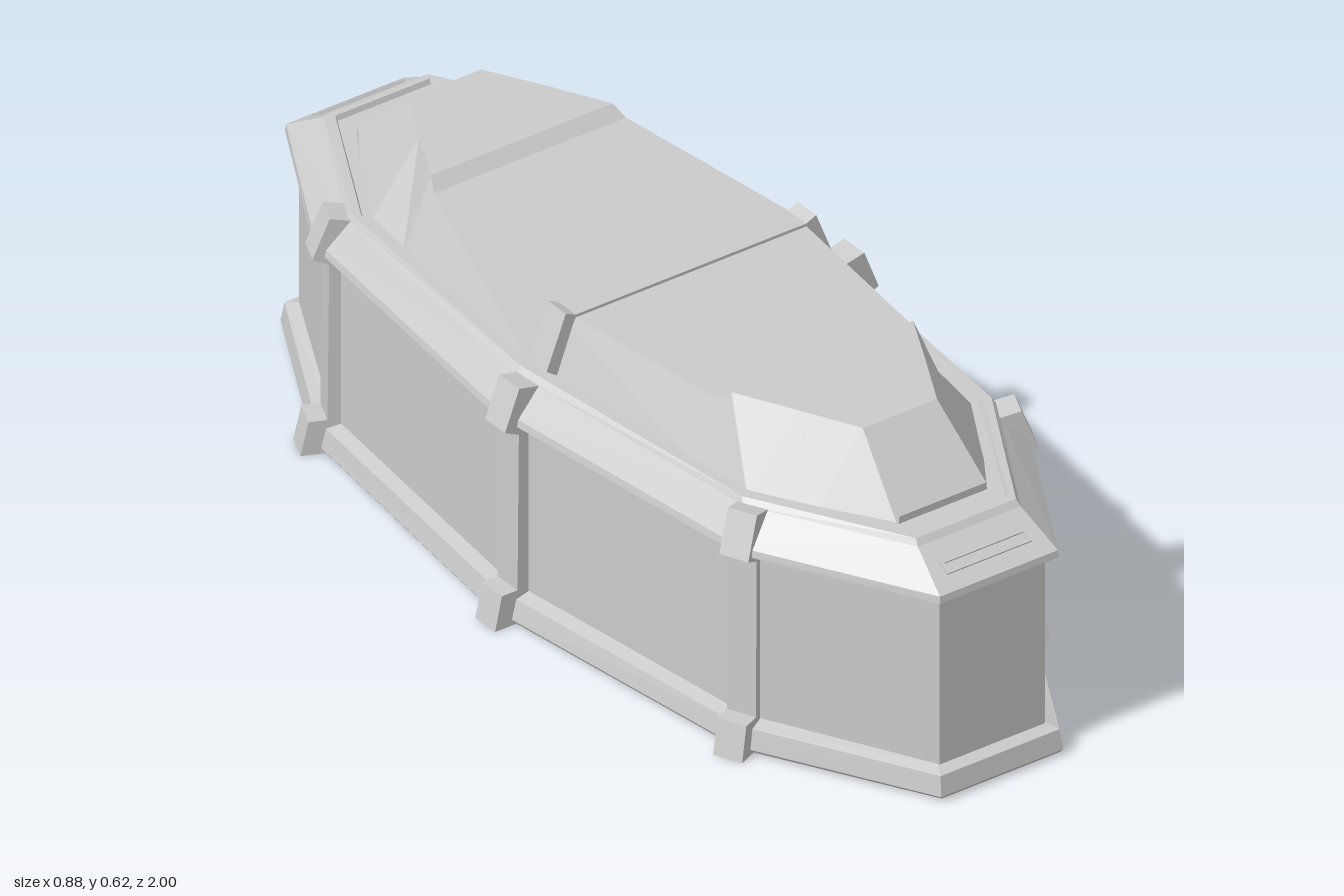
import * as THREE from 'three';

const material = new THREE.MeshStandardMaterial({ color: 0xcccccc, flatShading: true });

// Skin a list of equal-length rings of [x, y, z] and close both ends
function loft(rings) {
  const n = rings[0].length, index = [];
  for (let i = 0; i < rings.length - 1; i++) {
    for (let j = 0; j < n; j++) {
      const a = i * n + j, b = i * n + (j + 1) % n;
      index.push(a, b, b + n, a, b + n, a + n);
    }
  }
  const last = (rings.length - 1) * n;
  for (let j = 1; j < n - 1; j++) {
    index.push(0, j + 1, j, last, last + j, last + j + 1);
  }
  const g = new THREE.BufferGeometry();
  g.setAttribute('position', new THREE.Float32BufferAttribute(rings.flat(2), 3));
  g.setIndex(index);
  const flat = g.toNonIndexed();
  flat.computeVertexNormals();
  return flat;
}

// Ten-sided boat-shaped outline: end half width, end z, shoulder x and z, middle half width
function outline(y, ex, ez, sx, sz, mx) {
  const half = [[ex, y, ez], [sx, y, sz], [mx, y, 0], [sx, y, -sz], [ex, y, -ez]];
  return [...half, ...half.slice().reverse().map(([x, h, z]) => [-x, h, z])];
}

function polygon(points) {
  return new THREE.Shape(points.map(([x, y]) => new THREE.Vector2(x, y)));
}

function slab(shape, depth) {
  const g = new THREE.ExtrudeGeometry(shape, { depth, bevelEnabled: false });
  return g.translate(0, 0, -depth / 2);
}

export function createModel() {
  const model = new THREE.Group();
  model.name = 'casket';
  const add = (name, geometry) => {
    const mesh = new THREE.Mesh(geometry, material);
    mesh.name = name;
    model.add(mesh);
    return mesh;
  };

  // Plinth with a sloped top edge
  add('base', loft([
    outline(0.005, 0.132, 0.995, 0.325, 0.645, 0.405),
    outline(0.012, 0.137, 1.0, 0.33, 0.645, 0.41),
    outline(0.052, 0.133, 0.993, 0.322, 0.645, 0.40),
    outline(0.06, 0.12, 0.968, 0.295, 0.63, 0.37),
  ]));

  // Upright walls
  add('body', loft([
    outline(0.05, 0.118, 0.97, 0.297, 0.63, 0.372),
    outline(0.43, 0.118, 0.97, 0.297, 0.63, 0.372),
  ]));

  // Overhanging rim sloping in to a stepped deck
  add('rim', loft([
    outline(0.408, 0.118, 0.965, 0.295, 0.63, 0.37),
    outline(0.418, 0.133, 0.992, 0.325, 0.645, 0.398),
    outline(0.432, 0.132, 0.99, 0.322, 0.645, 0.395),
    outline(0.486, 0.115, 0.90, 0.285, 0.60, 0.35),
    outline(0.498, 0.112, 0.89, 0.279, 0.59, 0.338),
    outline(0.498, 0.106, 0.876, 0.267, 0.58, 0.325),
    outline(0.488, 0.104, 0.872, 0.263, 0.578, 0.32),
  ]));

  // Lid cross-sections: z, half width at the foot, half width on top, top height
  const lidHalf = [
    [0.82, 0.10, 0.097, 0.503],
    [0.69, 0.185, 0.083, 0.62],
    [0.57, 0.253, 0.145, 0.622],
    [0.455, 0.265, 0.203, 0.622],
    [0.43, 0.268, 0.215, 0.60],
  ];
  const lidSections = [
    ...lidHalf.map(([z, ...rest]) => [-z, ...rest]),
    [0, 0.31, 0.265, 0.60],
    ...lidHalf.slice().reverse(),
  ];
  add('lid', loft(lidSections.map(([z, foot, top, y]) =>
    [[foot, 0.48, z], [top, y, z], [-top, y, z], [-foot, 0.48, z]])));

  // Strap across the middle of the lid, with raised shoulders
  const strapSide = [[0.29, 0.485], [0.323, 0.508], [0.28, 0.616], [0.258, 0.606]];
  const strap = [...strapSide, ...strapSide.slice().reverse().map(([x, y]) => [-x, y])];
  add('lidStrap', slab(polygon(strap), 0.055)).position.z = 0.03;

  // Braces: a foot, a thin upright rib and a hooked top
  const brace = slab(polygon([
    [0.31, 0], [0.44, 0], [0.425, 0.07], [0.39, 0.07], [0.387, 0.40],
    [0.418, 0.415], [0.386, 0.497], [0.345, 0.488], [0.32, 0.49],
  ]), 0.06);
  const cornerAngle = 0.42;
  for (const side of [1, -1]) {
    for (const [x, z, turn] of [[0.41, 0.03, 0], [0.33, 0.64, cornerAngle], [0.33, -0.64, -cornerAngle]]) {
      const dx = side * Math.cos(turn), dz = Math.sin(turn);
      const mesh = add(turn ? 'cornerBrace' : 'middleBrace', brace);
      mesh.rotation.y = Math.atan2(-dz, dx);
      mesh.position.set(side * x - dx * 0.41, 0, z - dz * 0.41);
    }
  }

  // Narrow slot frame on the rim slope at each end
  const frame = polygon([[-0.095, -0.014], [0.095, -0.014], [0.095, 0.014], [-0.095, 0.014]]);
  frame.holes.push(new THREE.Path([
    [-0.088, -0.008], [-0.088, 0.008], [0.088, 0.008], [0.088, -0.008],
  ].map(([x, y]) => new THREE.Vector2(x, y))));
  const frameGeometry = slab(frame, 0.008).rotateX(-1.03).translate(0, 0.457, 0.949);
  for (const turn of [0, Math.PI]) {
    add('slotFrame', frameGeometry).rotation.y = turn;
  }

  return model;
}
